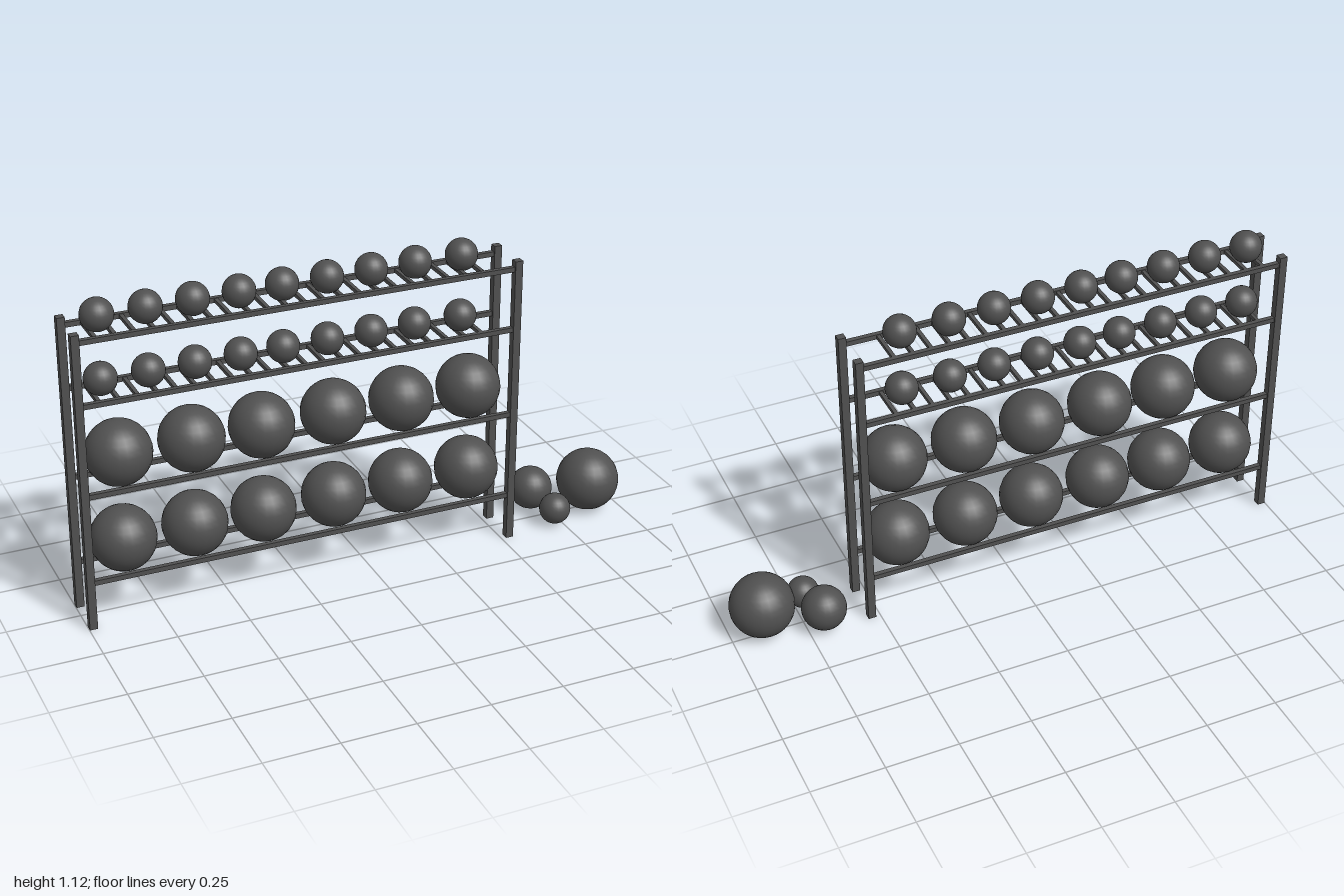
import * as THREE from 'three';

export function createModel() {
  const model = new THREE.Group();
  model.name = 'ballRack';
  const darkGrey = new THREE.MeshStandardMaterial({ color: 0x505050 });
  darkGrey.name = 'darkGrey';

  const add = (name, geometry, x, y, z) => {
    const mesh = new THREE.Mesh(geometry, darkGrey);
    mesh.name = name;
    mesh.position.set(x, y, z);
    model.add(mesh);
  };
  const ball = (r) => new THREE.SphereGeometry(r, 24, 16);

  const leftX = -0.985, rightX = 0.53, midZ = 0.011;
  const sideZ = [0.087, -0.065];
  const shelfY = [0.167, 0.479, 0.794, 1.011];

  // Corner posts
  const postGeo = new THREE.BoxGeometry(0.027, 1.04, 0.027);
  for (const x of [leftX, rightX])
    for (const z of sideZ) add('post', postGeo, x, 0.52, z);

  // Long shelf rails, front and back
  const railGeo = new THREE.BoxGeometry(rightX - leftX, 0.017, 0.017);
  for (const y of shelfY)
    for (const z of sideZ) add('rail', railGeo, (leftX + rightX) / 2, y, z);

  // Rungs across the two upper shelves
  const rungGeo = new THREE.BoxGeometry(0.013, 0.013, 0.152);
  for (const y of shelfY.slice(2))
    for (let i = 0; i < 22; i++) add('rung', rungGeo, -0.916 + i * 0.063, y, midZ);

  // Large balls resting between the lower rails
  const largeGeo = ball(0.111);
  for (const y of [0.264, 0.575])
    for (const x of [-0.843, -0.597, -0.355, -0.101, 0.147, 0.397])
      add('largeBall', largeGeo, x, y, 0.009);

  // Small balls on the upper shelves
  const smallGeo = ball(0.055);
  for (const y of [0.843, 1.06])
    for (const x of [-0.888, -0.731, -0.576, -0.421, -0.275, -0.12, 0.035, 0.192, 0.36])
      add('smallBall', smallGeo, x, y, midZ);

  // Loose balls on the floor
  add('looseLargeBall', ball(0.111), 0.885, 0.115, 0.012);
  add('looseMediumBall', ball(0.077), 0.692, 0.088, -0.057);
  add('looseSmallBall', ball(0.055), 0.72, 0.063, 0.077);

  return model;
}
